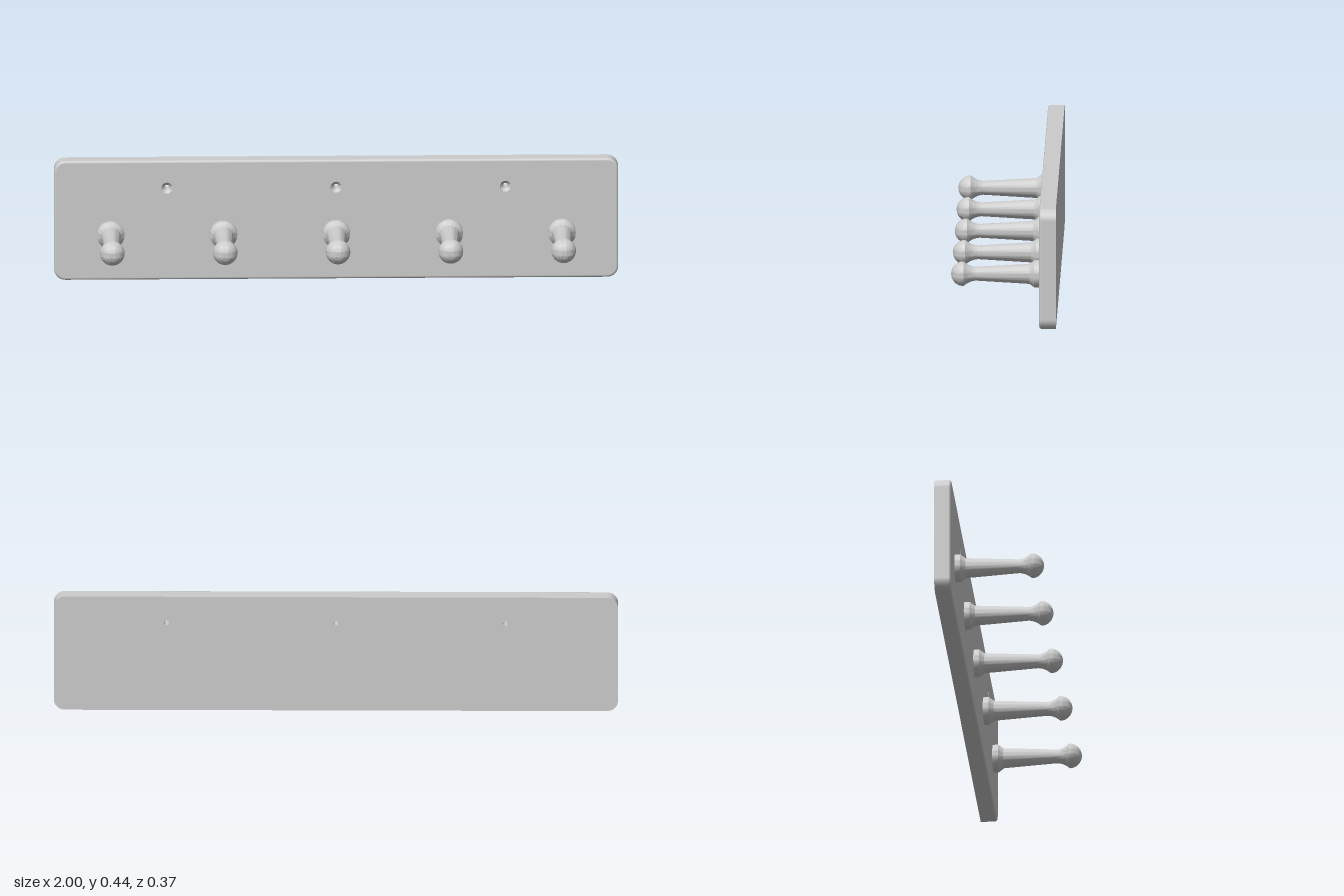
import * as THREE from 'three';
import { toCreasedNormals } from 'three/addons/utils/BufferGeometryUtils.js';

const H = 0.435, BACK = -0.187, FRONT = -0.128;
const CORNER = 0.04, FILLET = 0.009;
const HOLE_X = [-0.6, 0, 0.6], HOLE_Y = 0.335, SINK_R = 0.02, HOLE_R = 0.009, SINK_DEPTH = 0.012;
const PEG_X = [-0.8, -0.4, 0, 0.4, 0.8], PEG_Y = 0.167;

const v2 = (x, y) => new THREE.Vector2(x, y);

// Rounded rectangle, anticlockwise, each point with its outward angle
function outline(inset) {
  const pts = [], n = 8;
  const corners = [[1, 1], [-1, 1], [-1, -1], [1, -1]];
  corners.forEach(([sx, sy], c) => {
    for (let i = 0; i <= n; i++) {
      const a = (c + i / n) * Math.PI / 2, r = CORNER - inset;
      pts.push({
        a,
        x: sx * (1 - CORNER) + r * Math.cos(a),
        y: H / 2 + sy * (H / 2 - CORNER) + r * Math.sin(a),
      });
    }
  });
  return pts;
}

// Flat board face pierced by the screw holes
function face(inset, holeR) {
  const shape = new THREE.Shape(outline(inset).map(p => v2(p.x, p.y)));
  for (const x of HOLE_X) {
    shape.holes.push(new THREE.Path().absarc(x, HOLE_Y, holeR, 0, Math.PI * 2, true));
  }
  return new THREE.ShapeGeometry(shape, 16);
}

// Board rim: straight sides, then a quarter-round fillet to the front
function rim() {
  const rings = [{ z: BACK, inset: 0, t: 0 }];
  for (let i = 0; i <= 6; i++) {
    const t = i / 6 * Math.PI / 2;
    rings.push({ z: FRONT - FILLET * (1 - Math.sin(t)), inset: FILLET * (1 - Math.cos(t)), t });
  }
  const pos = [], nor = [], idx = [];
  let n = 0;
  rings.forEach(({ z, inset, t }, k) => {
    const pts = outline(inset);
    n = pts.length;
    pts.forEach((p, i) => {
      pos.push(p.x, p.y, z);
      nor.push(Math.cos(p.a) * Math.cos(t), Math.sin(p.a) * Math.cos(t), Math.sin(t));
      if (k > 0) {
        const j = (i + 1) % n, a = (k - 1) * n, b = k * n;
        idx.push(a + i, a + j, b + j, a + i, b + j, b + i);
      }
    });
  });
  const g = new THREE.BufferGeometry();
  g.setAttribute('position', new THREE.Float32BufferAttribute(pos, 3));
  g.setAttribute('normal', new THREE.Float32BufferAttribute(nor, 3));
  g.setIndex(idx);
  return g;
}

// Profile of (radius, z) turned around the z axis
function turned(profile, segments) {
  const g = new THREE.LatheGeometry(profile, segments).rotateX(Math.PI / 2);
  return toCreasedNormals(g, 0.45);
}

function pegProfile() {
  const foot = new THREE.QuadraticBezierCurve(v2(0.047, -0.106), v2(0.039, -0.096), v2(0.0355, -0.09));
  const neck = new THREE.QuadraticBezierCurve(v2(0.0245, 0.098), v2(0.0255, 0.122), v2(0.044, 0.143));
  const pts = [v2(0.049, FRONT), v2(0.049, -0.108), v2(0.047, -0.106)];
  pts.push(...foot.getPoints(4).slice(1), ...neck.getPoints(8));
  // Domed tip
  for (let i = 1; i <= 10; i++) {
    const t = i / 10 * Math.PI / 2;
    pts.push(v2(i === 10 ? 0 : 0.044 * Math.cos(t), 0.143 + 0.044 * Math.sin(t)));
  }
  return pts;
}

export function createModel() {
  const model = new THREE.Group();
  model.name = 'pegRail';
  const mat = new THREE.MeshStandardMaterial({ color: 0xcccccc });
  const add = (parent, name, geo, x = 0, y = 0, z = 0) => {
    const m = new THREE.Mesh(geo, mat);
    m.name = name;
    m.position.set(x, y, z);
    parent.add(m);
  };

  // Backboard
  const board = new THREE.Group();
  board.name = 'backboard';
  model.add(board);
  add(board, 'boardRim', rim());
  add(board, 'boardFront', face(FILLET, SINK_R), 0, 0, FRONT);
  add(board, 'boardBack', face(0, HOLE_R).rotateY(Math.PI), 0, 0, BACK);

  // Countersunk screw holes, walls facing inward
  const hole = turned([v2(SINK_R, FRONT), v2(HOLE_R, FRONT - SINK_DEPTH), v2(HOLE_R, BACK)], 32);
  HOLE_X.forEach(x => add(board, 'screwHole', hole, x, HOLE_Y));

  // Turned pegs
  const peg = turned(pegProfile(), 40);
  PEG_X.forEach(x => add(model, 'peg', peg, x, PEG_Y));

  return model;
}
